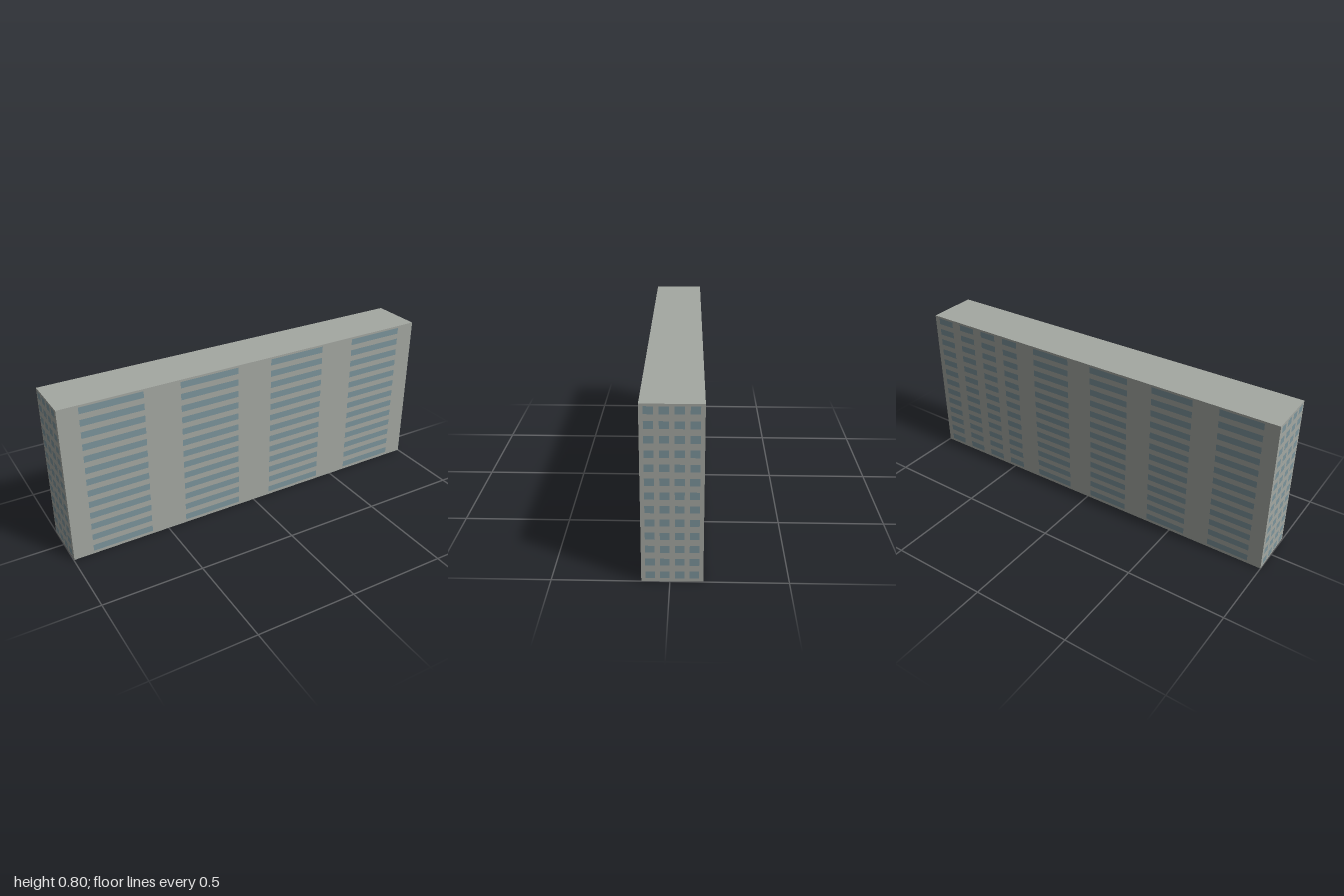
import * as THREE from 'three';
import { mergeGeometries } from 'three/addons/utils/BufferGeometryUtils.js';

const HEIGHT = 0.8, ROWS = 13, ROW_PITCH = 0.0617, FIRST_ROW = 0.033, WINDOW_HEIGHT = 0.033;

// Plan corners [x, z], counter-clockwise seen from the front side: slightly turned slab
const FRONT_LEFT = [-0.997, 0.14], FRONT_RIGHT = [1, 0.12];
const BACK_RIGHT = [0.997, -0.14], BACK_LEFT = [-1, -0.12];

// Evenly spaced window columns: [centre along the wall, width]
const columns = (first, pitch, width, count = 4) =>
  Array.from({ length: count }, (_, i) => [first + i * pitch, width]);

export function createModel() {
  const wallMaterial = new THREE.MeshStandardMaterial({ color: 0xa4a8a2, side: THREE.DoubleSide });
  wallMaterial.name = 'concrete';
  const windowMaterial = new THREE.MeshStandardMaterial({ color: 0x7c949b });
  windowMaterial.name = 'glass';

  const building = new THREE.Group();
  building.name = 'slabBuilding';

  // One facade running from plan corner a to b, with its grid of window panes
  function addFacade(name, a, b, cols) {
    const length = Math.hypot(b[0] - a[0], b[1] - a[1]);
    const facade = new THREE.Group();
    facade.name = name;
    facade.position.set((a[0] + b[0]) / 2, 0, (a[1] + b[1]) / 2);
    facade.rotation.y = -Math.atan2(b[1] - a[1], b[0] - a[0]);

    const wall = new THREE.Mesh(new THREE.PlaneGeometry(length, HEIGHT), wallMaterial);
    wall.name = name + 'Wall';
    wall.position.y = HEIGHT / 2;
    facade.add(wall);

    const panes = [];
    for (const [u, width] of cols) {
      for (let row = 0; row < ROWS; row++) {
        panes.push(new THREE.PlaneGeometry(width, WINDOW_HEIGHT)
          .translate(u, FIRST_ROW + row * ROW_PITCH, 0.0015));
      }
    }
    const windows = new THREE.Mesh(mergeGeometries(panes), windowMaterial);
    windows.name = name + 'Windows';
    facade.add(windows);
    building.add(facade);
  }

  const endColumns = columns(-0.0923, 0.0615, 0.04);
  addFacade('front', FRONT_LEFT, FRONT_RIGHT, columns(-0.744, 0.496, 0.31));
  addFacade('rightEnd', FRONT_RIGHT, BACK_RIGHT, endColumns);
  // The back has four narrow columns beside four wide ones
  addFacade('back', BACK_RIGHT, BACK_LEFT,
    [...columns(-0.922, 0.146, 0.093), ...columns(-0.221, 0.347, 0.214)]);
  addFacade('leftEnd', BACK_LEFT, FRONT_LEFT, endColumns);

  // Flat roof; the underside stays open
  const outline = [FRONT_LEFT, FRONT_RIGHT, BACK_RIGHT, BACK_LEFT]
    .map(([x, z]) => new THREE.Vector2(x, -z));
  const roof = new THREE.Mesh(
    new THREE.ShapeGeometry(new THREE.Shape(outline)).rotateX(-Math.PI / 2), wallMaterial);
  roof.name = 'roof';
  roof.position.y = HEIGHT;
  building.add(roof);

  return building;
}
